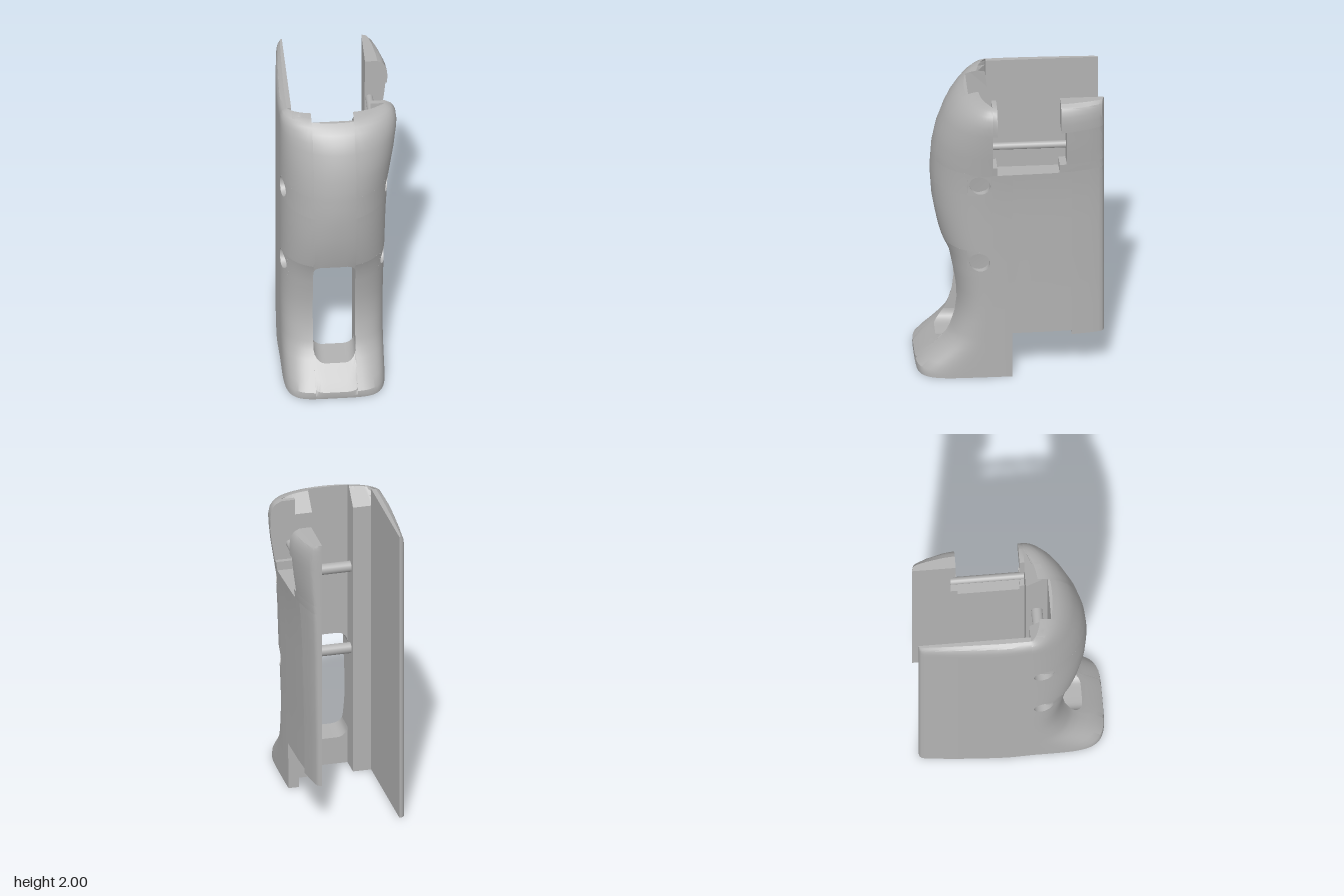
import * as THREE from 'three';
import { toCreasedNormals } from 'three/addons/utils/BufferGeometryUtils.js';

const grey = new THREE.MeshStandardMaterial({ color: 0xb2b2b2, side: THREE.DoubleSide });
grey.name = 'grey';

const lerp = THREE.MathUtils.lerp;
const IN_L = -0.30, IN_R = 0.21;      // inner planes of the side walls
const CH_L = -0.18, CH_R = 0.09;      // channel and front window
const Z0 = 0.12, CH_Z = 0.26;         // back of the front block, channel floor
const YS = [0, 0.02, 0.05, 0.1, 0.15, 0.2, 0.25, 0.3, 0.4, 0.5, 0.6, 0.7, 0.77, 0.85, 0.93, 1, 1.1, 1.2, 1.3, 1.35,
  1.43, 1.51, 1.57, 1.64, 1.7, 1.76, 1.82, 1.88, 1.93, 1.96, 1.98, 1.99, 2];
const ZS = [-0.6, -0.595, -0.585, -0.565, -0.5, -0.39, -0.25, -0.1, -0.01, 0.06, 0.12];

// Samples a list of [key, value] pairs
function table(rows) {
  return (k) => {
    let i = 1;
    while (i < rows.length - 1 && k > rows[i][0]) i++;
    const [a, va] = rows[i - 1], [b, vb] = rows[i];
    return lerp(va, vb, THREE.MathUtils.clamp((k - a) / (b - a), 0, 1));
  };
}
const nodes = (a, b, list) => [a, ...list.filter((v) => v > a + 0.004 && v < b - 0.004), b];
const steps = (n) => Array.from({ length: n + 1 }, (_, i) => i / n);

// Outer form: front profile, right flare, roundness of the section
const frontZ = table([[0, 0.595], [0.02, 0.6], [0.05, 0.598], [0.1, 0.555], [0.15, 0.5], [0.2, 0.45], [0.25, 0.41],
  [0.3, 0.385], [0.4, 0.355], [0.5, 0.345], [0.6, 0.35], [0.7, 0.365], [0.85, 0.395], [0.93, 0.43], [1, 0.45], [1.1, 0.47],
  [1.2, 0.487], [1.35, 0.497], [1.43, 0.497], [1.57, 0.488], [1.7, 0.463], [1.82, 0.42], [1.88, 0.39], [1.93, 0.35],
  [1.96, 0.315], [1.98, 0.28], [1.99, 0.25], [2, 0.2]]);
const flareR = table([[0, 0.28], [0.6, 0.286], [0.93, 0.295], [1.2, 0.303], [1.4, 0.315], [1.5, 0.325], [1.6, 0.34],
  [1.7, 0.356], [1.82, 0.37], [1.88, 0.374], [1.93, 0.368], [1.96, 0.355], [1.98, 0.34], [2, 0.3]]);
const power = table([[0, 5], [0.1, 4], [0.25, 3], [0.5, 2.5], [0.9, 2.4], [1.4, 2], [2, 2]]);
const topRound = table([[1.93, 1], [1.96, 0.94], [1.98, 0.8], [2, 0.4]]);
const backL = table([[-0.6, 0.15], [-0.595, 0.3], [-0.585, 0.42], [-0.565, 0.5], [-0.39, 0.73], [-0.2, 0.9], [-0.05, 1], [0.12, 0.94]]);
const backR = table([[-0.6, 0.05], [-0.595, 0.25], [-0.585, 0.38], [-0.565, 0.47], [-0.5, 0.64], [-0.39, 0.83], [-0.25, 0.93], [0.06, 1]]);
const xL = (z, y) => IN_L - 0.078 * topRound(y) * backL(z);
const xR = (z, y) => IN_R + (flareR(y) - IN_R) * backR(z);

function section(y) {
  const l = xL(Z0, y), r = xR(Z0, y);
  return { cx: (l + r) / 2, a: (r - l) / 2, b: frontZ(y) - Z0, n: power(y) };
}
// Depth of the front at x, and side surface at z
function zAt(x, y) {
  const { cx, a, b, n } = section(y);
  return Z0 + b * Math.max(0, 1 - Math.abs((x - cx) / a) ** n) ** (1 / n);
}
function sideAt(s, z, y) {
  const { cx, a, b, n } = section(y);
  return cx + s * a * Math.max(0, 1 - Math.max(0, (z - Z0) / b) ** n) ** (1 / n);
}

// Closed slab between an outer and an inner grid; winding follows its volume
function slab(us, vs, outer, inner) {
  const nu = us.length, nv = vs.length, pts = [], tris = [];
  for (const f of [outer, inner]) for (const v of vs) for (const u of us) pts.push(f(u, v));
  const id = (k, i, j) => k * nu * nv + j * nu + i;
  const quad = (a, b, c, d) => tris.push(a, b, c, a, c, d);
  for (let j = 0; j < nv - 1; j++) for (let i = 0; i < nu - 1; i++) {
    quad(id(0, i, j), id(0, i + 1, j), id(0, i + 1, j + 1), id(0, i, j + 1));
    quad(id(1, i, j), id(1, i, j + 1), id(1, i + 1, j + 1), id(1, i + 1, j));
  }
  for (let i = 0; i < nu - 1; i++) {
    quad(id(0, i, 0), id(1, i, 0), id(1, i + 1, 0), id(0, i + 1, 0));
    quad(id(0, i, nv - 1), id(0, i + 1, nv - 1), id(1, i + 1, nv - 1), id(1, i, nv - 1));
  }
  for (let j = 0; j < nv - 1; j++) {
    quad(id(0, 0, j), id(0, 0, j + 1), id(1, 0, j + 1), id(1, 0, j));
    quad(id(0, nu - 1, j), id(1, nu - 1, j), id(1, nu - 1, j + 1), id(0, nu - 1, j + 1));
  }
  let volume = 0;
  const p = pts.map((q) => new THREE.Vector3(...q));
  for (let t = 0; t < tris.length; t += 3) {
    volume += p[tris[t]].dot(new THREE.Vector3().crossVectors(p[tris[t + 1]], p[tris[t + 2]]));
  }
  if (volume < 0) tris.reverse();
  return surface(pts, tris);
}
function surface(pts, tris) {
  const g = new THREE.BufferGeometry();
  g.setAttribute('position', new THREE.Float32BufferAttribute(pts.flat(), 3));
  g.setIndex(tris);
  return toCreasedNormals(g, 0.5);
}

export function createModel() {
  const model = new THREE.Group();
  model.name = 'gripShell';
  const add = (name, geometry, parent = model) => {
    const m = new THREE.Mesh(geometry, grey);
    m.name = name;
    parent.add(m);
    return m;
  };

  // Side walls; the right one is assembled around its cutouts
  const wall = (name, xOut, xIn, z0, z1, y0, y1) => add(name, slab(nodes(z0, z1, ZS), nodes(y0, y1, YS),
    (z, y) => [xOut(z, y), y, z], (z, y) => [xIn, y, z]));
  wall('leftWall', xL, IN_L, -0.6, Z0, 0, 2);
  for (const [name, ...r] of [
    ['rightWallBack', -0.6, -0.39, 0.29, 1.51], ['rightWallMiddle', -0.39, -0.01, 0.32, 1.51],
    ['rightWallLeg', -0.01, Z0, 0, 1.51], ['backPostStep', -0.6, -0.31, 1.51, 1.57],
    ['backPost', -0.6, -0.355, 1.57, 1.82], ['backPad', -0.6, -0.32, 1.82, 2],
    ['frontPostStep', 0.09, Z0, 1.51, 1.57], ['frontPad', 0.09, Z0, 1.82, 2],
  ]) wall(name, xR, IN_R, ...r);

  // Front columns either side of the channel, with bands left open for screws
  const bevel = (y) => Z0 + Math.max(0, y - 1.88);
  const screws = [[0.85, 1.2], [1.43, -0.25]], SZ = 0.2, H = 0.08;
  for (const s of [-1, 1]) {
    const side = s < 0 ? 'left' : 'right', xc = s < 0 ? CH_L : CH_R, xi = s < 0 ? IN_L : IN_R;
    const column = (y0, y1, zStart) => add(side + 'FrontColumn', slab(steps(14), nodes(y0, y1, YS), (u, y) => {
      const { cx, a, b, n } = section(y);
      const p0 = Math.asin(((zStart - Z0) / b) ** (n / 2));
      const p1 = Math.acos((s * (xc - cx) / a) ** (n / 2));
      const p = lerp(p0, p1, u);
      return [cx + s * a * Math.cos(p) ** (2 / n), y, Z0 + b * Math.sin(p) ** (2 / n)];
    }, (u, y) => {
      const x = lerp(xi, xc, u);
      return [x, y, Math.min(bevel(y), zAt(x, y))];
    }));
    column(0, 0.77, Z0);
    column(0.77, 0.93, SZ + H);
    column(0.93, 1.35, Z0);
    column(1.35, 1.51, SZ + H);
    column(1.51, 2, Z0);

    // Screw hole: square surround blending to a circle, then the bore
    for (const [y0, turn] of screws) {
      const N = 32, R = 0.066, pts = [], tris = [];
      const headX = sideAt(s, SZ, y0) - s * 0.038;
      for (let k = 0; k < 5; k++) for (let i = 0; i <= N; i++) {
        const t = i / N * Math.PI * 2, c = Math.cos(t), d = Math.sin(t);
        const square = H / Math.max(Math.abs(c), Math.abs(d));
        const r = lerp(square, R, Math.min(k, 3) / 3);
        const z = SZ + r * c, y = y0 + r * d;
        pts.push([k === 4 ? headX : sideAt(s, z, y), y, z]);
        if (k < 4 && i < N) {
          const q = k * (N + 1) + i, w = q + N + 1;
          tris.push(...(s < 0 ? [q, q + 1, w, q + 1, w + 1, w] : [q, w, q + 1, q + 1, w, w + 1]));
        }
      }
      add(side + 'ScrewHole', surface(pts, tris));

      // Slotted screw head
      const screw = new THREE.Group();
      screw.name = side + 'Screw';
      screw.position.set(headX, y0, SZ);
      screw.rotation.set(turn, s * Math.PI / 2, 0, 'XYZ');
      add('screwSeat', new THREE.CircleGeometry(R, 24), screw);
      for (const h of [0, Math.PI]) {
        const half = new THREE.Shape();
        half.absarc(0, 0, 0.054, 0.2, Math.PI - 0.2, false);
        const m = add('screwHeadHalf', new THREE.ExtrudeGeometry(half, { depth: 0.012, bevelEnabled: false, curveSegments: 14 }), screw);
        m.rotation.z = h;
      }
    }
  }

  // Middle of the front, above and below the rounded window
  const corner = (x) => {
    const r = 0.07, d = Math.max(0, r - Math.min(x - CH_L, CH_R - x));
    return r - Math.sqrt(Math.max(0, r * r - d * d));
  };
  const xs = [0, 0.02, 0.06, 0.13, 0.2, 0.27, 0.4, 0.5, 0.6, 0.73, 0.8, 0.87, 0.94, 0.98, 1].map((u) => lerp(CH_L, CH_R, u));
  const middle = (name, vs, yAt) => add(name, slab(xs, vs,
    (x, v) => [x, yAt(x, v), zAt(x, yAt(x, v))],
    (x, v) => [x, yAt(x, v), Math.min(CH_Z, zAt(x, yAt(x, v)))]));
  middle('frontAboveWindow', nodes(0.93, 1.98, YS), (x, y) => y - corner(x) * Math.max(0, 1 - (y - 0.93) / 0.3));
  middle('frontBelowWindow', nodes(0, 0.185, YS), (x, y) => y + corner(x) * (y / 0.185));

  // Cross pins in the channel and the rod across the side cutout
  for (const [y] of screws) {
    const pin = add('crossPin', new THREE.CylinderGeometry(0.036, 0.036, CH_R - CH_L, 20));
    pin.rotation.z = Math.PI / 2;
    pin.position.set((CH_L + CH_R) / 2, y, 0.19);
  }
  const rod = add('sideRod', new THREE.CylinderGeometry(0.024, 0.024, 0.49, 16));
  rod.rotation.x = Math.PI / 2;
  rod.position.set(0.24, 1.68, -0.115);
  return model;
}
